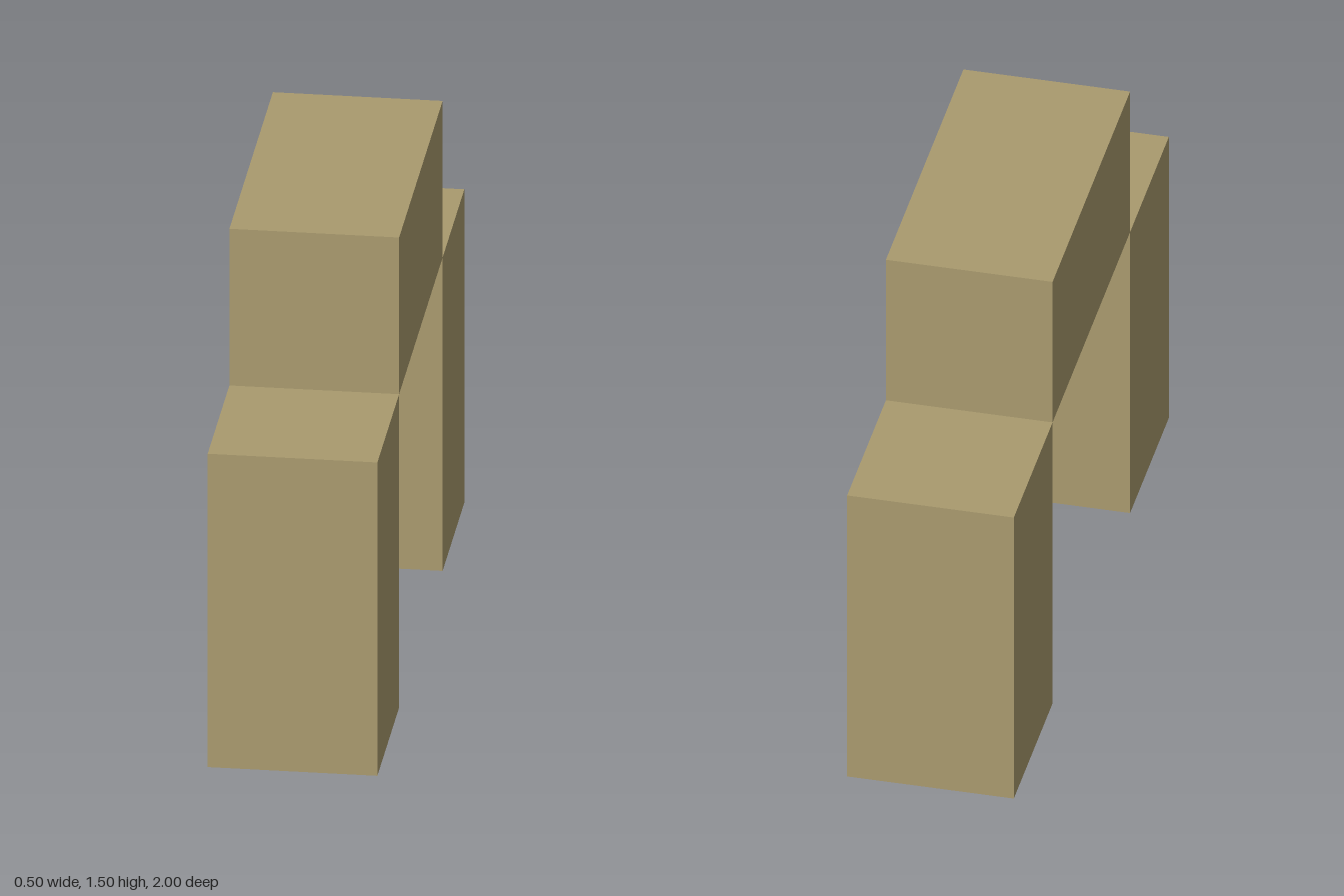
import * as THREE from 'three';

export function createModel() {
  const model = new THREE.Group();
  model.name = 'arch';
  const sandstone = new THREE.MeshStandardMaterial({ color: 0xa99a6e });
  sandstone.name = 'sandstone';

  const addBlock = (name, height, depth, y, z) => {
    const block = new THREE.Mesh(new THREE.BoxGeometry(0.5, height, depth), sandstone);
    block.name = name;
    block.position.set(0, y, z);
    model.add(block);
  };

  // Two upright pillars
  for (const [name, side] of [['frontPillar', 1], ['backPillar', -1]]) {
    addBlock(name, 1, 0.5, 0.5, side * 0.75);
  }

  // Raised lintel, meeting the pillars along their inner top edges
  addBlock('lintel', 0.5, 1, 1.25, 0);

  return model;
}
